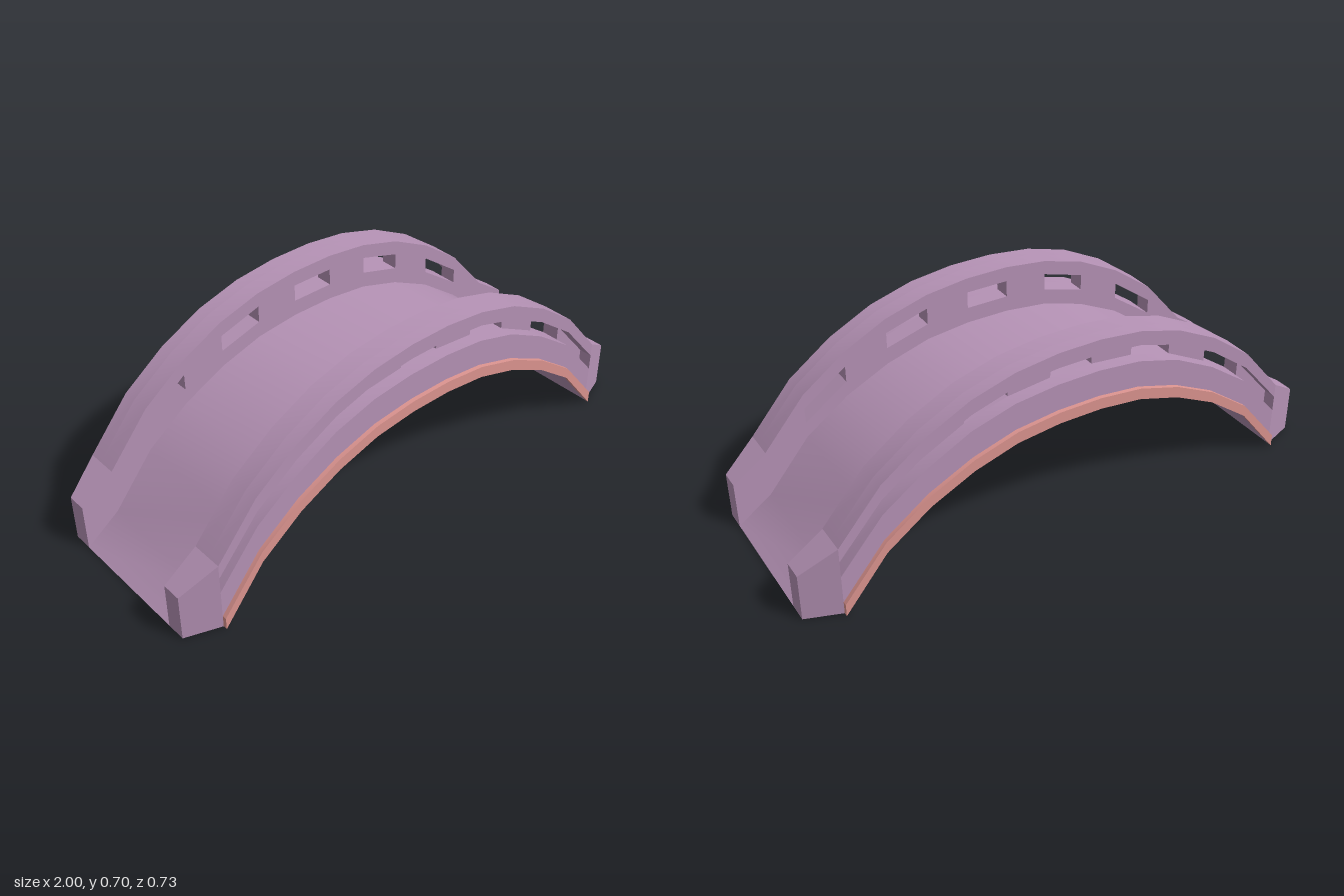
import * as THREE from 'three';
import { toCreasedNormals } from 'three/addons/utils/BufferGeometryUtils.js';

const stone = new THREE.MeshStandardMaterial({ color: 0xb592b5 });
const trim = new THREE.MeshStandardMaterial({ color: 0xdc9490 });

// Half-arch heights at shared stations, from springing to crown
const X = [0.875, 0.72, 0.56, 0.4, 0.24, 0.08];
const UNDER = [0, 0.19, 0.305, 0.382, 0.43, 0.448];
const TRIM = [0.046, 0.232, 0.347, 0.424, 0.472, 0.49];
const DECK = [0.088, 0.272, 0.387, 0.464, 0.512, 0.53];
const SILL = [0.15, 0.33, 0.443, 0.525, 0.571, 0.588];
const LINTEL = [0.21, 0.387, 0.503, 0.585, 0.633, 0.65];
const TOP = [0.262, 0.443, 0.56, 0.64, 0.686, 0.705];

const INNER = 0.234, GROOVE = 0.3, OUTER = 0.35, TRIM_Z = 0.366, END_Z = 0.305;

// Mirror a half arch into a full left-to-right curve
function arch(heights) {
  const half = heights.map((y, i) => [-X[i], y]);
  return [...half, ...half.map(([x, y]) => [-x, y]).reverse()];
}

// Closed outline between two arches
const between = (low, high) => [...arch(low), ...arch(high).reverse()];

const toVectors = (points) => points.map(([x, y]) => new THREE.Vector2(x, y));

function slab(name, outline, z0, z1, material, holes = [], reshape = null) {
  const shape = new THREE.Shape(toVectors(outline));
  holes.forEach((h) => shape.holes.push(new THREE.Path(toVectors(h))));
  const geometry = new THREE.ExtrudeGeometry(shape, { depth: z1 - z0, bevelEnabled: false });
  geometry.translate(0, 0, z0);
  if (reshape) reshape(geometry.attributes.position);
  const mesh = new THREE.Mesh(toCreasedNormals(geometry, 0.32), material);
  mesh.name = name;
  return mesh;
}

function parapet(name) {
  const side = new THREE.Group();
  side.name = name;

  // Five windows, in every second bay
  const low = arch(SILL), high = arch(LINTEL);
  const windows = [];
  for (let i = 1; i < low.length - 1; i += 2) {
    windows.push([low[i], low[i + 1], high[i + 1], high[i]]);
  }
  side.add(slab('windowWall', between(UNDER, TOP), INNER, GROOVE, stone, windows));

  // Outer skin: lower wall and top rail with a groove between them
  side.add(slab('lowerWall', between(UNDER, SILL), GROOVE, OUTER, stone));
  side.add(slab('topRail', between(LINTEL, TOP), GROOVE, OUTER, stone));

  // Tapered end posts
  for (const s of [-1, 1]) {
    const outline = [[0.875 * s, 0], [s, 0], [s, 0.176], [0.875 * s, 0.262]];
    side.add(slab('endPost', outline, INNER, OUTER, stone, [], (p) => {
      for (let i = 0; i < p.count; i++) {
        if (Math.abs(p.getX(i)) > 0.99 && p.getZ(i) > GROOVE) p.setZ(i, END_Z);
      }
    }));
  }

  // Coloured band along the arch edge
  side.add(slab('archTrim', between(UNDER, TRIM), OUTER, TRIM_Z, trim));
  return side;
}

export function createModel() {
  const bridge = new THREE.Group();
  bridge.name = 'archBridge';

  // Deck, running down to ground level at both ends
  const outline = [[-1, 0], ...arch(UNDER), [1, 0], ...arch(DECK).reverse()];
  bridge.add(slab('deck', outline, -INNER, INNER, stone));

  const front = parapet('frontParapet');
  const back = parapet('backParapet');
  back.rotation.y = Math.PI;
  bridge.add(front, back);
  return bridge;
}
